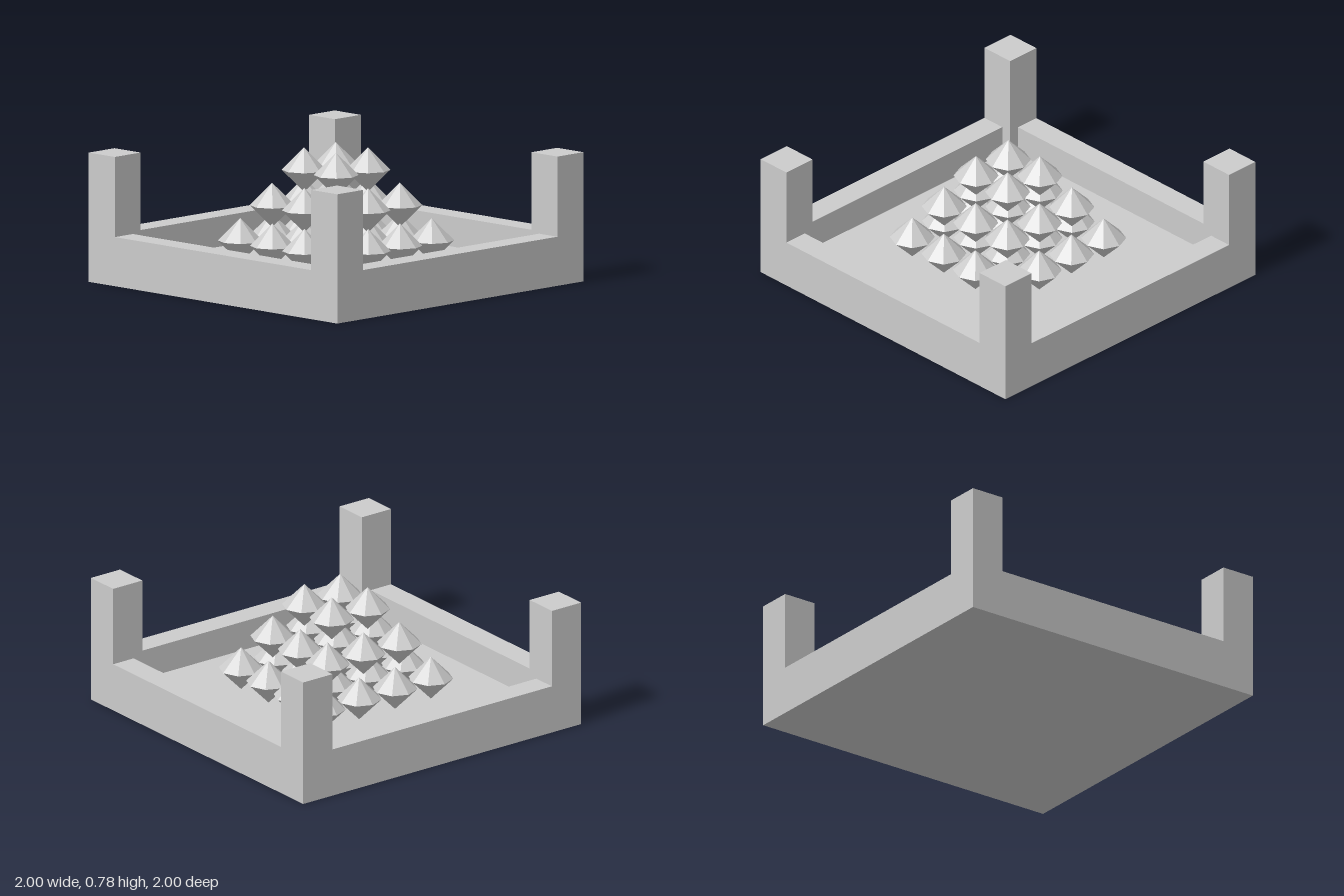
import * as THREE from 'three';

export function createModel() {
  const model = new THREE.Group();
  const material = new THREE.MeshStandardMaterial({ color: 0xcccccc, flatShading: true });

  function add(name, geometry, x, y, z) {
    const mesh = new THREE.Mesh(geometry, material);
    mesh.name = name;
    mesh.position.set(x, y, z);
    model.add(mesh);
    return mesh;
  }

  const railTop = 0.285, railWidth = 0.147, floorTop = 0.11;
  const postWidth = 0.21, postTop = 0.75;

  // Tray floor
  const inner = 2 - 2 * railWidth;
  add('floor', new THREE.BoxGeometry(inner, floorTop, inner), 0, floorTop / 2, 0);

  // Rails between the corner posts
  const railLength = 2 - 2 * postWidth;
  const railGeometry = new THREE.BoxGeometry(railLength, railTop, railWidth);
  const railOffset = 1 - railWidth / 2;
  ['front', 'left', 'back', 'right'].forEach((side, i) => {
    const angle = i * Math.PI / 2;
    const rail = add(side + 'Rail', railGeometry,
      Math.sin(angle) * railOffset, railTop / 2, Math.cos(angle) * railOffset);
    rail.rotation.y = angle;
  });

  // Corner posts
  const postGeometry = new THREE.BoxGeometry(postWidth, postTop, postWidth);
  const postOffset = 1 - postWidth / 2;
  for (const sx of [-1, 1]) {
    for (const sz of [-1, 1]) {
      const name = (sz > 0 ? 'front' : 'back') + (sx > 0 ? 'Left' : 'Right') + 'Post';
      add(name, postGeometry, sx * postOffset, postTop / 2, sz * postOffset);
    }
  }

  // Stacked eight-sided gems in layers of 4x4, 3x3 and 2x2
  const radius = 0.129;
  const gemGeometry = new THREE.SphereGeometry(radius, 8, 2);
  [4, 3, 2].forEach((count, layer) => {
    const y = 0.24 + layer * 0.205;
    for (let i = 0; i < count; i++) {
      for (let j = 0; j < count; j++) {
        const x = (i - (count - 1) / 2) * 2 * radius;
        const z = (j - (count - 1) / 2) * 2 * radius;
        add('gem', gemGeometry, x, y, z);
      }
    }
  });

  return model;
}
